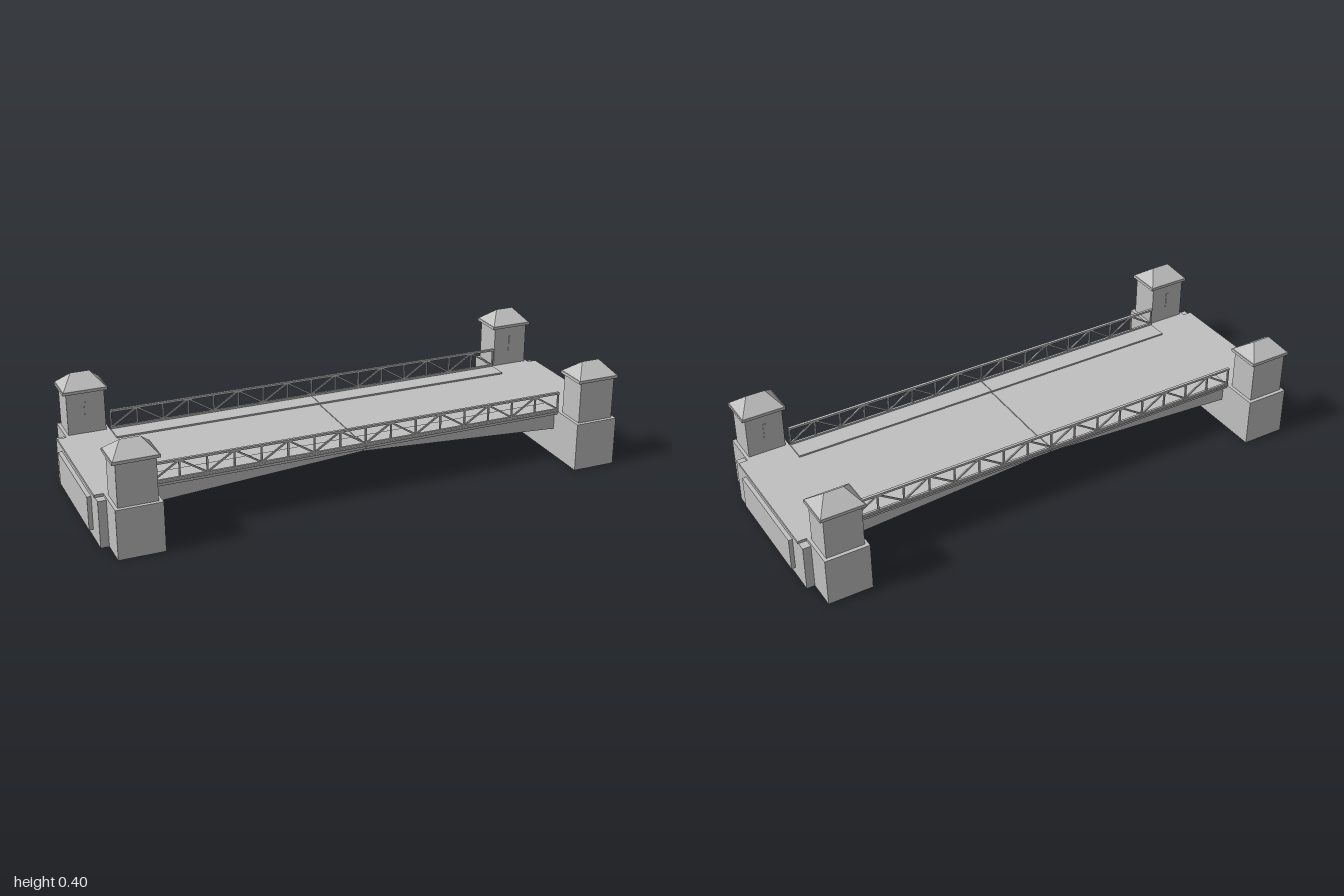
import * as THREE from 'three';

export function createModel() {
  const model = new THREE.Group();
  model.name = 'bridge';
  const stone = new THREE.MeshStandardMaterial({ color: 0xc0c0c0, side: THREE.DoubleSide });
  stone.name = 'light grey';

  const add = (name, geometry, parent = model) => {
    const mesh = new THREE.Mesh(geometry, stone);
    mesh.name = name;
    parent.add(mesh);
    return mesh;
  };
  // Box given by its limits on each axis
  const box = (name, x0, x1, y0, y1, z0, z1, parent) => {
    const mesh = add(name, new THREE.BoxGeometry(x1 - x0, y1 - y0, z1 - z0), parent);
    mesh.position.set((x0 + x1) / 2, (y0 + y1) / 2, (z0 + z1) / 2);
    return mesh;
  };
  // Box with its x limits mirrored for the other end of the bridge
  const endBox = (name, s, x0, x1, ...rest) =>
    s > 0 ? box(name, x0, x1, ...rest) : box(name, -x1, -x0, ...rest);

  // Hipped roof: a box whose top is pinched into a ridge along x
  const hipRoof = (w, h, d, ridge) => {
    const g = new THREE.BoxGeometry(w, h, d).toNonIndexed();
    const p = g.attributes.position;
    for (let i = 0; i < p.count; i++) {
      if (p.getY(i) > 0) {
        p.setX(i, Math.sign(p.getX(i)) * ridge / 2);
        p.setZ(i, 0);
      }
    }
    g.computeVertexNormals();
    return g;
  };

  // Abutments and towers at both ends
  for (const s of [-1, 1]) {
    endBox('pier', s, 0.79, 0.955, 0, 0.183, -0.39, 0.39);
    endBox('abutment', s, 0.955, 0.985, 0, 0.173, -0.283, 0.283);
    endBox('approachSlab', s, 0.955, 0.988, 0.173, 0.183, -0.25, 0.25);
    endBox('endPanel', s, 0.985, 1, 0.03, 0.155, -0.198, 0.198);
    for (const t of [-1, 1]) {
      const tower = new THREE.Group();
      tower.name = 'tower';
      tower.position.set(s * 0.873, 0, t * 0.3195);
      model.add(tower);
      box('shaft', -0.07, 0.07, 0.183, 0.34, -0.0565, 0.0565, tower);
      box('eaves', -0.0825, 0.0825, 0.34, 0.351, -0.064, 0.064, tower);
      const roof = add('roof', hipRoof(0.159, 0.049, 0.126, 0.07), tower);
      roof.position.y = 0.3755;
      box('slot', -0.006, 0.006, 0.24, 0.302, -t * 0.0575 - 0.0015, -t * 0.0575 + 0.0015, tower);
    }
  }

  // Two deck leaves with a narrow seam, each on four tapering girders
  for (const s of [-1, 1]) {
    endBox('deckLeaf', s, 0.0015, 0.79, 0.172, 0.183, -0.25, 0.25);
    endBox('centreCrossBeam', s, 0.004, 0.012, 0.158, 0.172, -0.225, 0.225);
    const profile = new THREE.Shape([
      new THREE.Vector2(s * 0.0015, 0.155),
      new THREE.Vector2(s * 0.79, 0.105),
      new THREE.Vector2(s * 0.79, 0.172),
      new THREE.Vector2(s * 0.0015, 0.172),
    ]);
    for (const z of [-0.225, -0.075, 0.075, 0.225]) {
      const g = new THREE.ExtrudeGeometry(profile, { depth: 0.008, bevelEnabled: false });
      add('girder', g).position.z = z - 0.004;
    }
  }

  // Footways and truss railings along both sides
  const panels = 16, span = 1.576, zRail = 0.25;
  const yLow = 0.194, yHigh = 0.257;
  for (const t of [-1, 1]) {
    for (const s of [-1, 1]) {
      const z = [t * 0.17, t * 0.255].sort((a, b) => a - b);
      endBox('footway', s, 0.0015, 0.79, 0.183, 0.189, z[0], z[1]);
    }
    const rail = new THREE.Group();
    rail.name = 'trussRailing';
    rail.position.z = t * zRail;
    model.add(rail);
    box('topRail', -0.79, 0.79, 0.254, 0.262, -0.005, 0.005, rail);
    box('bottomRail', -0.79, 0.79, 0.189, 0.196, -0.004, 0.004, rail);
    for (let i = 0; i <= panels; i++) {
      const x = -span / 2 + (span * i) / panels;
      box('post', x - 0.003, x + 0.003, yLow, yHigh, -0.003, 0.003, rail);
      if (i === panels) break;
      // Diagonals rise and fall in turn
      const dx = span / panels, dy = (yHigh - yLow) * (i % 2 ? -1 : 1);
      const brace = add('diagonal', new THREE.BoxGeometry(Math.hypot(dx, dy), 0.006, 0.005), rail);
      brace.position.set(x + dx / 2, (yLow + yHigh) / 2, 0);
      brace.rotation.z = Math.atan2(dy, dx);
    }
  }
  return model;
}
